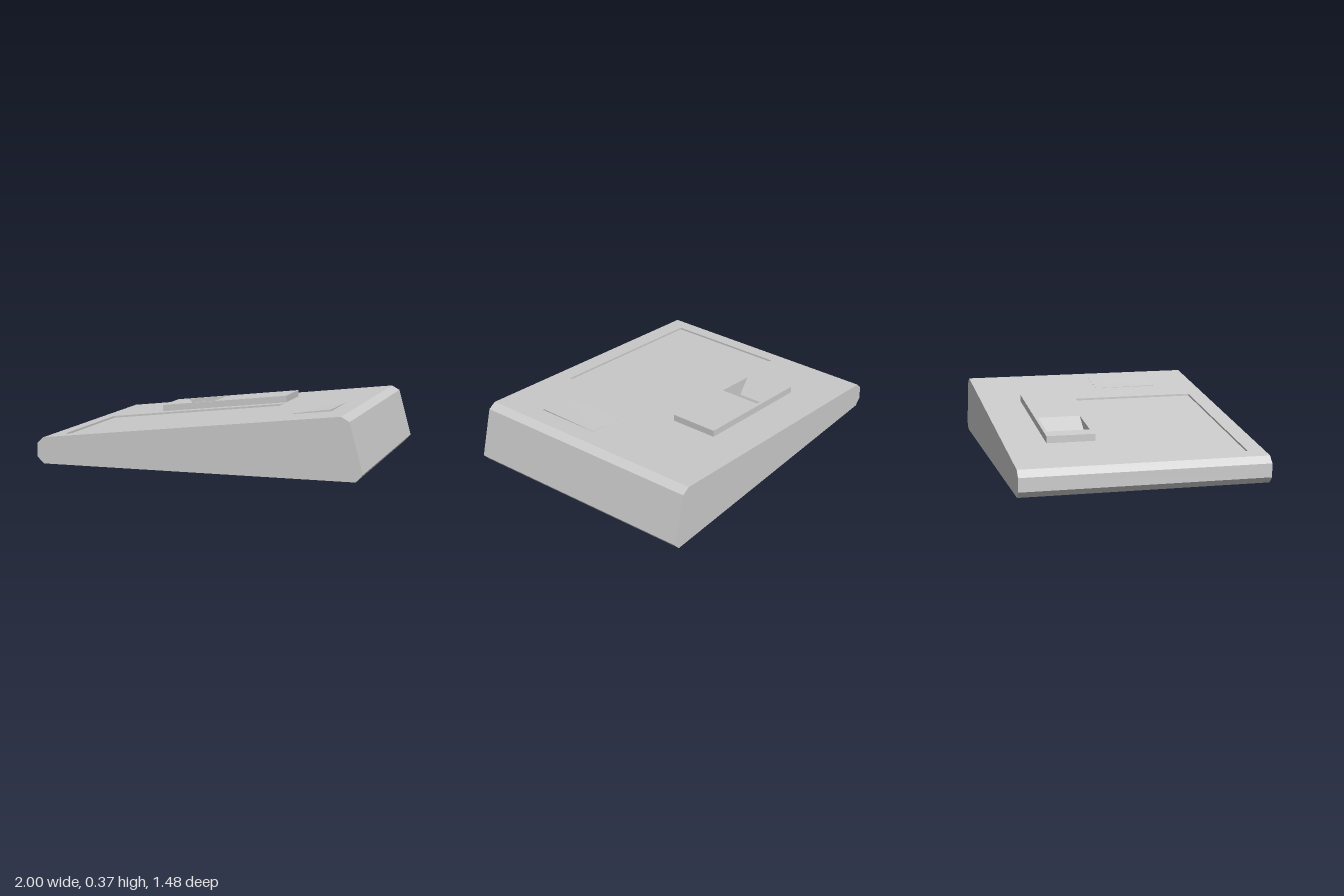
import * as THREE from 'three';
import { mergeGeometries } from 'three/addons/utils/BufferGeometryUtils.js';

const V = (x, y, z) => new THREE.Vector3(x, y, z);
const HALF = 0.74;

// height of the sloping top face
const deckY = (x) => 0.16 + (x + 0.96) * (0.208 / 1.83);

// rectangle lying on the slope, raised by h, counterclockwise from above
const rect = ([x0, x1, z0, z1], h = 0) =>
  [[x0, z1], [x1, z1], [x1, z0], [x0, z0]].map(([x, z]) => V(x, deckY(x) + h, z));

// convex polygon
function fan(points) {
  const tris = [];
  for (let i = 1; i < points.length - 1; i++) tris.push(points[0], points[i], points[i + 1]);
  return new THREE.BufferGeometry().setFromPoints(tris);
}

// walls joining two matching loops, optionally leaving one side open
function walls(a, b, skip = -1) {
  const quads = [];
  a.forEach((p, i) => {
    const j = (i + 1) % a.length;
    if (i !== skip) quads.push(fan([p, a[j], b[j], b[i]]));
  });
  return mergeGeometries(quads);
}

// sloping sheet with rectangular holes
function sheet(outer, holes, h = 0) {
  const path = (r, Type) => new Type(rect(r).map((p) => new THREE.Vector2(p.x, -p.z)));
  const shape = path(outer, THREE.Shape);
  shape.holes = holes.map((r) => path(r, THREE.Path));
  const g = new THREE.ShapeGeometry(shape).rotateX(-Math.PI / 2).toNonIndexed();
  g.deleteAttribute('uv');
  g.deleteAttribute('normal');
  const pos = g.attributes.position;
  for (let i = 0; i < pos.count; i++) pos.setY(i, deckY(pos.getX(i)) + h);
  return g;
}

export function createModel() {
  const group = new THREE.Group();
  const material = new THREE.MeshStandardMaterial({ color: 0xcccccc, flatShading: true });
  const add = (name, parts) => {
    const geometry = mergeGeometries(parts);
    geometry.computeVertexNormals();
    const mesh = new THREE.Mesh(geometry, material);
    mesh.name = name;
    group.add(mesh);
  };

  const block = [-0.545, 0.295, -0.49, -0.195];
  const notch = [-0.46, -0.19, -0.47, -0.21];
  const panel = [-0.865, 0.3, -0.125, 0.638];

  // wedge-shaped housing with chamfered ends
  const profile = [[-0.96, 0], [0.96, 0], [1, 0.045], [0.92, 0.34],
    [0.87, 0.368], [-0.96, 0.16], [-1, 0.122], [-1, 0.04]];
  const back = profile.map(([x, y]) => V(x, y, -HALF));
  const front = profile.map(([x, y]) => V(x, y, HALF));
  add('housing', [
    walls(back, front, 4),
    fan(front),
    fan([...back].reverse()),
    sheet([-0.96, 0.87, -HALF, HALF], [block, panel]),
  ]);

  // shallow recessed panel
  add('recessedPanel', [walls(rect(panel), rect(panel, -0.012)), fan(rect(panel, -0.012))]);

  // raised block with a V-shaped notch cut down into it
  const H = 0.042;
  const n = rect(notch, H);
  const p = V(-0.385, 0.165, notch[3]);
  const q = V(-0.385, 0.165, notch[2]);
  add('raisedBlock', [walls(rect(block), rect(block, H)), sheet(block, [notch], H)]);
  add('notch', [
    fan([n[0], p, q, n[3]]),
    fan([p, n[1], n[2], q]),
    fan([n[0], n[1], p]),
    fan([n[3], q, n[2]]),
  ]);

  // small plate, slightly tilted out of the slope
  const plate = [0.515, 0.745, 0.06, 0.455];
  const lift = [0.004, 0.01, 0.001, 0.001];
  const top = rect(plate).map((c, i) => c.setY(c.y + lift[i]));
  add('smallPlate', [walls(rect(plate, -0.005), top), fan(top)]);

  return group;
}
